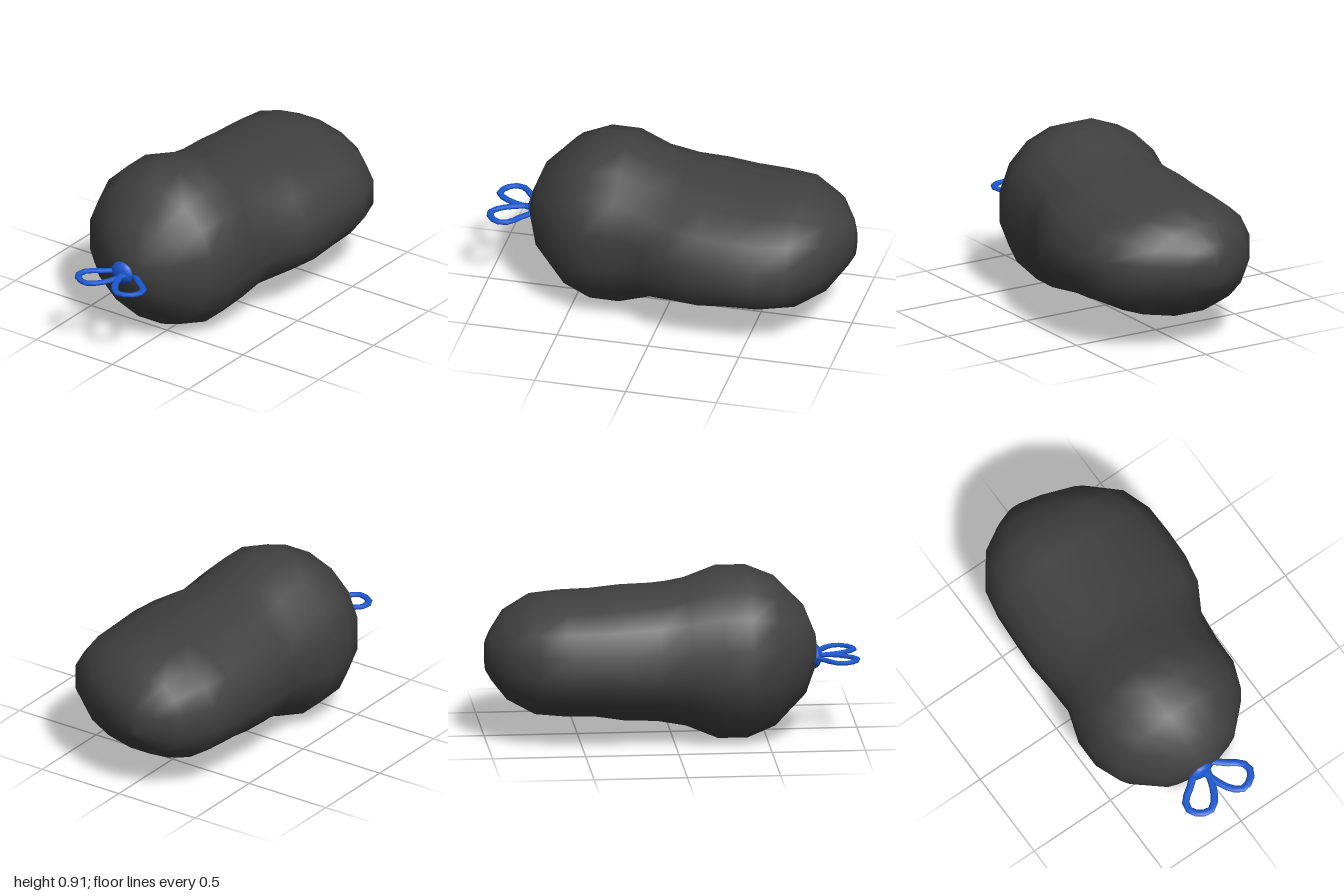
import * as THREE from 'three';

const SIDES = 16;
const RIDGE_Z = -0.075; // every ring is tallest along this line

// Loft egg-shaped rings along x; each section is [x, yMin, yMax, zMin, zMax]
function loftAlongX(sections) {
  const pos = [], index = [];
  const flat = Math.cos(Math.PI / SIDES); // flats, not corners, touch the extents
  for (const [x, y0, y1, z0, z1] of sections) {
    for (let j = 0; j < SIDES; j++) {
      const a = ((j + 0.5) / SIDES) * Math.PI * 2;
      const c = Math.cos(a) / flat, s = Math.sin(a) / flat;
      const full = Math.sign(s) * Math.abs(s) ** 0.92; // slightly fuller than an ellipse
      pos.push(
        x,
        (y0 + y1) / 2 + ((y1 - y0) / 2) * full,
        RIDGE_Z + c * (c > 0 ? z1 - RIDGE_Z : RIDGE_Z - z0)
      );
    }
  }
  const n = sections.length;
  const last = (n - 1) * SIDES;
  const tail = pos.length / 3, tip = tail + 1;
  for (const [x, y0, y1] of [sections[0], sections[n - 1]]) {
    pos.push(x, (y0 + y1) / 2, RIDGE_Z);
  }
  for (let j = 0; j < SIDES; j++) {
    const k = (j + 1) % SIDES;
    for (let i = 0; i < last; i += SIDES) {
      const a = i + j, b = a + SIDES, c = i + SIDES + k, d = i + k;
      index.push(a, b, c, a, c, d);
    }
    index.push(tail, j, k, tip, last + k, last + j); // end caps
  }
  const g = new THREE.BufferGeometry();
  g.setAttribute('position', new THREE.Float32BufferAttribute(pos, 3));
  g.setIndex(index);
  g.computeVertexNormals();
  return g;
}

export function createModel() {
  const group = new THREE.Group();
  const dark = new THREE.MeshStandardMaterial({ color: 0x404040 });
  const blue = new THREE.MeshStandardMaterial({ color: 0x1a58d0 });

  // Stuffed bag: round tied end, slight waist, longer flattened end
  const bag = new THREE.Mesh(loftAlongX([
    [-0.77, 0.37, 0.54, -0.16, 0.01],
    [-0.71, 0.22, 0.69, -0.31, 0.16],
    [-0.55, 0.06, 0.85, -0.47, 0.32],
    [-0.40, 0.00, 0.91, -0.525, 0.375],
    [-0.24, 0.00, 0.91, -0.525, 0.378],
    [-0.07, 0.07, 0.845, -0.47, 0.40],
    [0.09, 0.10, 0.81, -0.475, 0.49],
    [0.25, 0.105, 0.80, -0.485, 0.52],
    [0.41, 0.13, 0.78, -0.48, 0.525],
    [0.58, 0.135, 0.775, -0.47, 0.52],
    [0.74, 0.15, 0.765, -0.44, 0.465],
    [0.89, 0.23, 0.69, -0.33, 0.31],
    [0.97, 0.33, 0.59, -0.20, 0.12],
    [1.00, 0.38, 0.54, -0.12, 0.01]
  ]), dark);
  bag.name = 'bagBody';
  group.add(bag);

  // Tie: a flattened knot with two mirrored ribbon loops
  const tie = new THREE.Group();
  tie.name = 'ribbonTie';
  tie.position.set(0, 0.425, -0.08);
  const knot = new THREE.Mesh(new THREE.SphereGeometry(1, 12, 8), blue);
  knot.name = 'knot';
  knot.scale.set(0.037, 0.065, 0.072);
  knot.position.set(-0.766, 0, -0.02);
  tie.add(knot);

  const outline = [
    [-0.76, -0.015], [-0.86, 0.012], [-0.93, 0.045], [-0.98, 0.095], [-0.978, 0.135],
    [-0.95, 0.18], [-0.91, 0.2], [-0.86, 0.185], [-0.82, 0.13], [-0.76, 0.06]
  ];
  for (const side of [1, -1]) {
    const path = new THREE.CatmullRomCurve3(
      outline.map(([x, z]) => new THREE.Vector3(x, 0, side * z))
    );
    const tube = new THREE.TubeGeometry(path, 14, 0.02, 8, false);
    tube.scale(1, 0.6, 1);
    const loop = new THREE.Mesh(tube, blue);
    loop.name = side > 0 ? 'frontLoop' : 'backLoop';
    tie.add(loop);
  }
  group.add(tie);
  return group;
}
